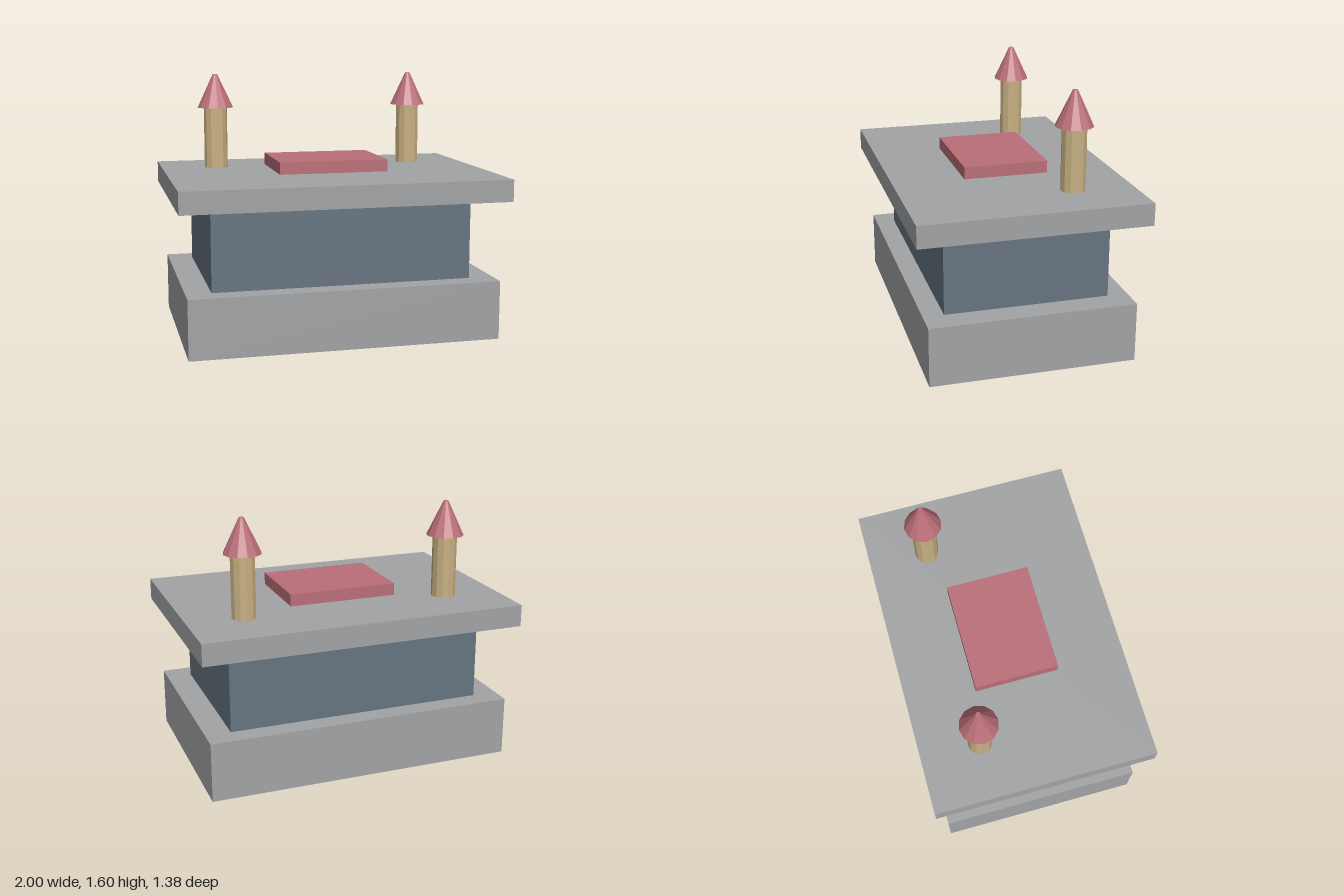
import * as THREE from 'three';

export function createModel() {
  const model = new THREE.Group();
  model.name = 'pavilion';

  const material = (name, color, flatShading = false) => {
    const m = new THREE.MeshStandardMaterial({ color, flatShading });
    m.name = name;
    return m;
  };
  const stone = material('stone grey', 0xa2a3a5);
  const wall = material('slate blue', 0x667480);
  const tile = material('dusty red', 0xba6e78, true);
  const sand = material('sand', 0xc8b083, true);

  const add = (parent, name, geometry, mat, x, y, z) => {
    const mesh = new THREE.Mesh(geometry, mat);
    mesh.name = name;
    mesh.position.set(x, y, z);
    parent.add(mesh);
  };

  // Stacked blocks: name, width, depth, bottom, top, material
  const blocks = [
    ['base', 1.91, 1.25, 0, 0.365, stone],
    ['walls', 1.6, 1.0, 0.365, 0.865, wall],
    ['roofSlab', 2.0, 1.375, 0.865, 1.0, stone],
    ['roofPanel', 0.68, 0.52, 1.015, 1.09, tile],
  ];
  for (const [name, w, d, y0, y1, mat] of blocks) {
    add(model, name, new THREE.BoxGeometry(w, y1 - y0, d), mat, 0, (y0 + y1) / 2, 0);
  }

  // Twin turrets near the back edge, each with a blunt conical cap
  const shaft = new THREE.CylinderGeometry(0.075, 0.075, 0.39, 12);
  const cap = new THREE.CylinderGeometry(0.015, 0.115, 0.212, 12);
  for (const side of [-1, 1]) {
    const turret = new THREE.Group();
    turret.name = side > 0 ? 'leftTurret' : 'rightTurret';
    turret.position.set(side * 0.65, 1.0, -0.317);
    add(turret, 'turretShaft', shaft, sand, 0, 0.195, 0);
    add(turret, 'turretCap', cap, tile, 0, 0.494, 0);
    model.add(turret);
  }

  return model;
}
